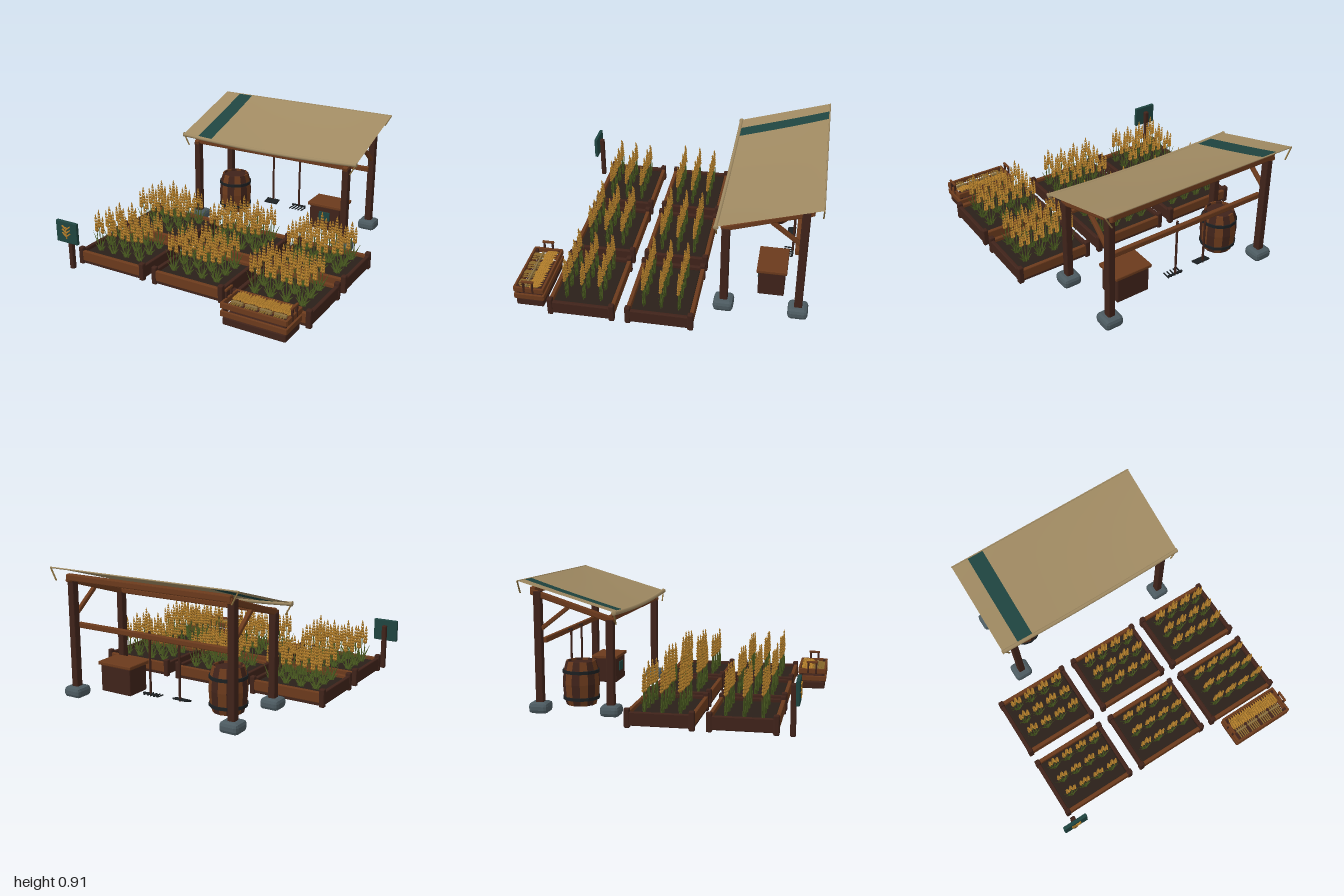
import * as THREE from 'three';
import { mergeGeometries } from 'three/addons/utils/BufferGeometryUtils.js';
import { RoundedBoxGeometry } from 'three/addons/geometries/RoundedBoxGeometry.js';

const mat = (color, side = THREE.FrontSide, flatShading = true) =>
  new THREE.MeshStandardMaterial({ color, side, flatShading });
const M = {
  wood: mat(0x6b3a1c), dark: mat(0x40231a), cloth: mat(0xa08a62, THREE.DoubleSide, false),
  stripe: mat(0x1f4440, THREE.DoubleSide, false), teal: mat(0x1f4440), stone: mat(0x4c5a60),
  soil: mat(0x2a2019), metal: mat(0x1c2022), grain: mat(0xb07c2a), stem: mat(0x4a5a20),
  straw: mat(0x8a6a2c), rope: mat(0x8a7040),
};

function add(parent, name, geo, material, x = 0, y = 0, z = 0) {
  const mesh = new THREE.Mesh(geo, material);
  mesh.name = name;
  mesh.position.set(x, y, z);
  parent.add(mesh);
  return mesh;
}
// Box with slightly softened edges, centred on x, y, z
function box(parent, name, material, w, h, d, x, y, z) {
  const r = Math.min(0.008, Math.min(w, h, d) * 0.22);
  return add(parent, name, new RoundedBoxGeometry(w, h, d, 1, r), material, x, y, z);
}
// Square beam between two points
function beam(parent, name, material, a, b, size) {
  const from = new THREE.Vector3(...a), to = new THREE.Vector3(...b);
  const m = box(parent, name, material, size, size, from.distanceTo(to), 0, 0, 0);
  m.position.copy(from).add(to).multiplyScalar(0.5);
  m.lookAt(to);
  return m;
}
function group(parent, name, x = 0, y = 0, z = 0) {
  const g = new THREE.Group();
  g.name = name;
  g.position.set(x, y, z);
  parent.add(g);
  return g;
}

// Ear of grain: paired kernels up a stalk, with a pointed tip
function earGeometry(length) {
  const parts = [];
  for (let i = 0; i < 5; i++) for (const s of [-1, 1]) {
    const k = 1 - i * 0.1;
    parts.push(new THREE.OctahedronGeometry(0.012 * k).scale(0.9, 1.5, 1).rotateZ(-s * 0.35)
      .translate(s * 0.008 * k, length * (0.1 + i * 0.17), 0));
  }
  parts.push(new THREE.OctahedronGeometry(0.008).scale(0.8, 2.2, 0.8).translate(0, length * 0.92, 0));
  return mergeGeometries(parts);
}
// One wheat plant: three stalks with ears, and blades fanning along x
function plantGeometries() {
  const ears = [], stems = [];
  for (const [x, top, lean] of [[-0.022, 0.245, 0.08], [0, 0.285, 0], [0.022, 0.25, -0.06]]) {
    const h = top - 0.12;
    stems.push(new THREE.CylinderGeometry(0.003, 0.004, h, 4).translate(0, h / 2, 0).rotateZ(lean * 0.5).translate(x * 0.9, 0, 0));
    ears.push(earGeometry(0.12).rotateZ(-x * 3).translate(x * 0.9 - lean * 0.5 * h, h, 0));
  }
  for (const [lean, len, z] of [[0.45, 0.14, 0.005], [-0.45, 0.15, -0.005], [0.2, 0.12, -0.007], [-0.22, 0.11, 0.007], [0.75, 0.07, 0], [-0.75, 0.07, 0]])
    stems.push(new THREE.ConeGeometry(0.008, len, 4).scale(1, 1, 0.6).translate(0, len / 2, 0).rotateZ(lean).translate(-lean * 0.01, 0, z));
  return { ears: mergeGeometries(ears), stems: mergeGeometries(stems) };
}

function addPlanter(parent, x, z, plant) {
  const g = group(parent, 'planter', x, 0, z);
  box(g, 'soil', M.soil, 0.5, 0.065, 0.39, 0, 0.052, 0);
  for (const s of [-1, 1]) {
    box(g, 'longBoard', M.wood, 0.53, 0.075, 0.028, 0, 0.066, s * 0.211);
    box(g, 'longSill', M.dark, 0.53, 0.024, 0.022, 0, 0.02, s * 0.207);
    box(g, 'endBoard', M.dark, 0.028, 0.09, 0.42, s * 0.265, 0.06, 0);
    for (const t of [-1, 1]) box(g, 'cornerPost', M.dark, 0.038, 0.128, 0.038, s * 0.264, 0.064, t * 0.209);
  }
  for (let row = -1; row <= 1; row++) for (let i = 0; i < 4; i++) {
    const p = group(g, 'wheatPlant', (i - 1.5) * 0.114, 0.085, row * 0.118);
    p.scale.set((i + row) % 2 ? -1 : 1, 1 + 0.04 * ((i * 2 + row + 1) % 3), 1);
    add(p, 'ears', plant.ears, M.grain);
    add(p, 'stems', plant.stems, M.stem);
  }
}

// Cloth roof height: slopes up to the back and sags in the middle
const X0 = -0.69, X1 = 0.76, ZF = -0.34, ZB = -0.995;
function clothY(x, z) {
  const u = (x - (X0 + X1) / 2) / ((X1 - X0) / 2), t = (z - ZF) / (ZB - ZF);
  return 0.71 + 0.193 * t - 0.022 * (1 - u * u) * (1 - t * t * t);
}
function addCanopy(parent) {
  const g = group(parent, 'canopy');
  for (const [a, b, m, name] of [[X0, -0.565, M.cloth, 'clothEdge'], [-0.565, -0.448, M.stripe, 'clothStripe'], [-0.448, X1, M.cloth, 'clothMain']]) {
    const geo = new THREE.PlaneGeometry(b - a, ZF - ZB, b - a > 0.5 ? 16 : 2, 10).rotateX(-Math.PI / 2)
      .translate((a + b) / 2, 0, (ZF + ZB) / 2);
    const p = geo.attributes.position;
    for (let i = 0; i < p.count; i++) p.setY(i, clothY(p.getX(i), p.getZ(i)));
    geo.computeVertexNormals();
    add(g, name, geo, m);
  }
  // Rolled front hem and thin back hem
  for (const [z, r] of [[ZF, 0.015], [ZB, 0.005]]) {
    const pts = [];
    for (let i = 0; i <= 10; i++) {
      const x = X0 + (X1 - X0) * i / 10;
      pts.push(new THREE.Vector3(x, clothY(x, z) - r * 0.4, z));
    }
    add(g, 'hem', new THREE.TubeGeometry(new THREE.CatmullRomCurve3(pts), 20, r, 8), M.cloth);
    for (const [x, s] of [[X0, 1], [X1, -1]]) {
      if (r > 0.01) add(g, 'hemEnd', new THREE.SphereGeometry(0.018, 8, 6).scale(0.3, 1, 1), M.cloth, x, 0.705, z);
      const y = clothY(x, z);
      beam(g, 'tieRope', M.rope, [x, y, z], [x + s * 0.047, y - 0.085, z], 0.009);
    }
  }
}

function addShelter(parent) {
  const g = group(parent, 'shelter');
  for (const x of [-0.59, 0.665]) {
    for (const [z, top] of [[-0.395, 0.65], [-0.893, 0.83]]) {
      box(g, 'post', M.dark, 0.05, top - 0.06, 0.054, x, (top + 0.06) / 2, z);
      add(g, 'footing', new RoundedBoxGeometry(0.135, 0.075, 0.135, 1, 0.025), M.stone, x, 0.0375, z);
    }
    beam(g, 'rafter', M.wood, [x, 0.64, -0.365], [x, 0.825, -0.94], 0.04);
    beam(g, 'brace', M.wood, [x, 0.725, -0.68], [x, 0.565, -0.885], 0.028);
  }
  box(g, 'frontPurlin', M.wood, 1.28, 0.04, 0.04, 0.0375, 0.655, -0.395);
  box(g, 'backPurlin', M.wood, 1.28, 0.045, 0.04, 0.0375, 0.835, -0.925);
  box(g, 'toolRail', M.wood, 1.24, 0.038, 0.03, 0.0375, 0.497, -0.855);
}

function addTools(parent) {
  for (const [name, x] of [['hoe', -0.145], ['rake', 0.09]]) {
    const g = group(parent, name, x, 0, -0.82);
    add(g, 'handle', new THREE.CylinderGeometry(0.008, 0.008, 0.43, 6), M.dark, 0, 0.305, 0);
    beam(g, 'hook', M.metal, [0, 0.505, -0.03], [0, 0.505, 0.012], 0.01);
    if (name === 'hoe') box(g, 'blade', M.metal, 0.11, 0.012, 0.06, 0, 0.095, 0.02).rotation.x = 0.25;
    else {
      box(g, 'head', M.metal, 0.12, 0.014, 0.014, 0, 0.095, 0);
      for (let i = -2; i <= 2; i++) beam(g, 'tine', M.metal, [i * 0.026, 0.095, 0], [i * 0.026, 0.07, 0.06], 0.008);
    }
  }
}

function addBarrel(parent) {
  const g = group(parent, 'barrel', -0.412, 0.03, -0.66), n = 14;
  const profile = [[0.104, 0], [0.122, 0.06], [0.129, 0.15], [0.122, 0.24], [0.104, 0.305], [0.092, 0.305], [0.092, 0.29]]
    .map(p => new THREE.Vector2(...p));
  for (let i = 0; i < n; i++)
    add(g, 'stave', new THREE.LatheGeometry(profile, 1, i * Math.PI * 2 / n, Math.PI * 2 / n), i % 2 ? M.wood : M.dark);
  add(g, 'head', new THREE.CylinderGeometry(0.093, 0.093, 0.29, n), M.dark, 0, 0.145, 0);
  for (const y of [0.05, 0.235])
    add(g, 'hoop', new THREE.CylinderGeometry(0.128, 0.128, 0.022, n), M.metal, 0, y, 0);
}

function addChest(parent) {
  const g = group(parent, 'storageBox', 0.412, 0, -0.7);
  box(g, 'body', M.dark, 0.25, 0.19, 0.18, 0, 0.125, 0);
  box(g, 'lid', M.wood, 0.28, 0.025, 0.205, 0, 0.23, 0);
  box(g, 'plaque', M.teal, 0.09, 0.07, 0.01, 0, 0.145, 0.093);
}

function addHarvestCrate(parent) {
  const g = group(parent, 'harvestCrate', 0.68, 0, 0.887);
  box(g, 'base', M.dark, 0.44, 0.055, 0.19, 0, 0.037, 0);
  for (const y of [0.09, 0.146]) for (const s of [-1, 1]) {
    box(g, 'longSlat', M.wood, 0.46, 0.038, 0.016, 0, y, s * 0.097);
    box(g, 'endSlat', M.wood, 0.016, 0.038, 0.2, s * 0.224, y, 0);
  }
  for (const s of [-1, 1]) {
    for (const t of [-1, 1]) {
      box(g, 'upright', M.dark, 0.022, 0.14, 0.022, s * 0.207, 0.092, t * 0.08);
      box(g, 'handlePost', M.dark, 0.014, 0.09, 0.014, s * 0.228, 0.175, t * 0.03);
    }
    box(g, 'handle', M.wood, 0.016, 0.016, 0.085, s * 0.228, 0.216, 0);
  }
  // Cut wheat in four tied bundles
  const ear = earGeometry(0.08).rotateX(-Math.PI / 2 + 0.2);
  const stalk = new THREE.CylinderGeometry(0.005, 0.005, 0.14, 5).rotateX(Math.PI / 2);
  for (let b = 0; b < 4; b++) {
    const bundle = group(g, 'wheatBundle', (b - 1.5) * 0.1, 0, 0);
    for (let i = -2; i <= 2; i++) {
      const y = 0.15 - Math.abs(i) * 0.004;
      add(bundle, 'cutEar', ear, M.grain, i * 0.019, y + 0.008, 0);
      add(bundle, 'cutStalk', stalk, M.straw, i * 0.016, y, 0.018);
    }
    box(bundle, 'tie', M.rope, 0.085, 0.022, 0.014, 0, 0.147, 0.03);
  }
}

function addSign(parent) {
  const g = group(parent, 'fieldSign', -0.866, 0, 0);
  box(g, 'post', M.dark, 0.035, 0.33, 0.035, 0, 0.165, 0.833);
  box(g, 'board', M.teal, 0.183, 0.16, 0.025, 0, 0.29, 0.863);
  // Carved wheat sprig
  box(g, 'sprigStem', M.grain, 0.007, 0.09, 0.01, 0, 0.288, 0.878);
  for (let i = 0; i < 3; i++) for (const s of [-1, 1])
    box(g, 'sprigLeaf', M.grain, 0.04, 0.01, 0.01, s * 0.018, 0.275 + i * 0.026, 0.878).rotation.z = s * 0.65;
}

export function createModel() {
  const root = new THREE.Group();
  root.name = 'wheatGarden';
  const plant = plantGeometries();
  for (const x of [-0.597, 0.037, 0.67]) for (const z of [-0.004, 0.523]) addPlanter(root, x, z, plant);
  addShelter(root);
  addCanopy(root);
  addTools(root);
  addBarrel(root);
  addChest(root);
  addHarvestCrate(root);
  addSign(root);
  return root;
}
